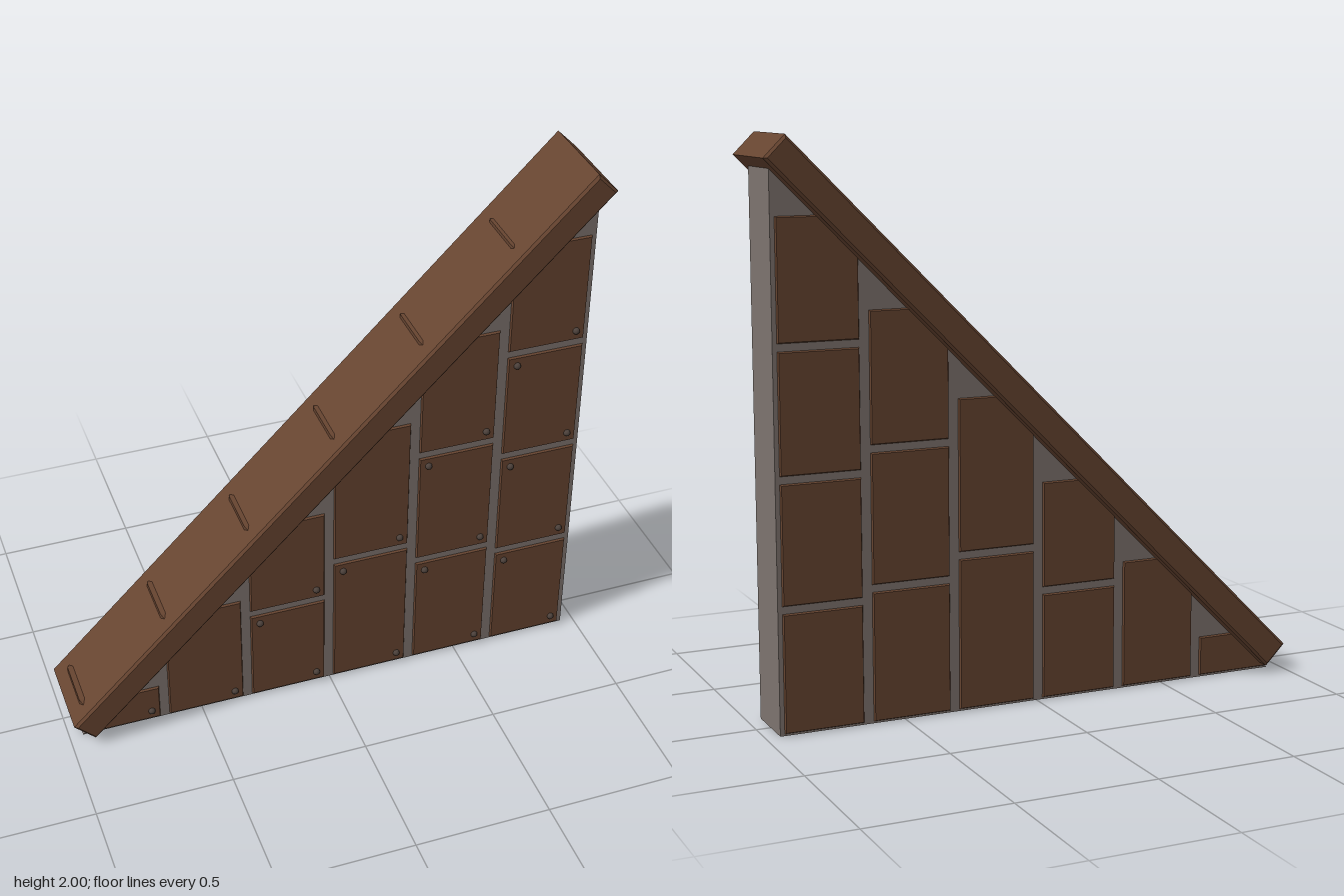
import * as THREE from 'three';

const wood = new THREE.MeshStandardMaterial({ color: 0x664430 });
wood.name = 'brown wood';
const stone = new THREE.MeshStandardMaterial({ color: 0x7d736e });
stone.name = 'grey core';
const metal = new THREE.MeshStandardMaterial({ color: 0x4d423c });
metal.name = 'dark nail';

// Box centred on the origin, chamfered on its front and back rims
function chamferedBox(w, h, d, inset, depth) {
  const x = w / 2 - inset, y = h / 2 - inset;
  const shape = new THREE.Shape([
    new THREE.Vector2(-x, -y), new THREE.Vector2(x, -y),
    new THREE.Vector2(x, y), new THREE.Vector2(-x, y),
  ]);
  const geo = new THREE.ExtrudeGeometry(shape, {
    depth: d - 2 * depth, bevelEnabled: true, bevelSegments: 1,
    bevelSize: inset, bevelThickness: depth,
  });
  return geo.translate(0, 0, depth - d / 2);
}

function addMesh(parent, name, geo, mat, x = 0, y = 0, z = 0) {
  const mesh = new THREE.Mesh(geo, mat);
  mesh.name = name;
  mesh.position.set(x, y, z);
  parent.add(mesh);
  return mesh;
}

export function createModel() {
  const model = new THREE.Group();
  model.name = 'triangularWall';

  // Triangular core
  const triangle = new THREE.Shape([
    new THREE.Vector2(-0.95, 0.001), new THREE.Vector2(0.95, 0.001), new THREE.Vector2(0.95, 1.9),
  ]);
  const coreGeo = new THREE.ExtrudeGeometry(triangle, { depth: 0.214, bevelEnabled: false });
  addMesh(model, 'core', coreGeo, stone, 0, 0, -0.107);

  // Sloping cap beam
  const beam = addMesh(model, 'capBeam', chamferedBox(2.687, 0.106, 0.34, 0.009, 0.009), wood, -0.002, 1.0125, 0);
  beam.rotation.z = Math.PI / 4;

  // Columns of panels, which run through the core and show on both sides
  const counts = [1, 1, 2, 2, 3, 4];
  const pitch = 0.3185, width = 0.3, gap = 0.01, thickness = 0.23;
  const nailGeo = new THREE.SphereGeometry(0.013, 10, 6);
  counts.forEach((count, i) => {
    const column = new THREE.Group();
    column.name = 'panelColumn' + (i + 1);
    const left = -0.95 + i * pitch;
    const step = (0.16 + i * 0.317 + gap) / count;
    const height = step - gap;
    const geo = chamferedBox(width, height, thickness, 0.012, 0.025);
    for (let j = 0; j < count; j++) {
      const bottom = j * step;
      addMesh(column, 'panel', geo, wood, left + width / 2, bottom + height / 2, 0);
      // Nails at lower right, and at upper left below the top row
      addMesh(column, 'nail', nailGeo, metal, left + width - 0.042, bottom + 0.047, 0.117);
      if (j < count - 1) {
        addMesh(column, 'nail', nailGeo, metal, left + 0.042, bottom + height - 0.042, 0.117);
      }
    }
    model.add(column);
  });

  return model;
}
